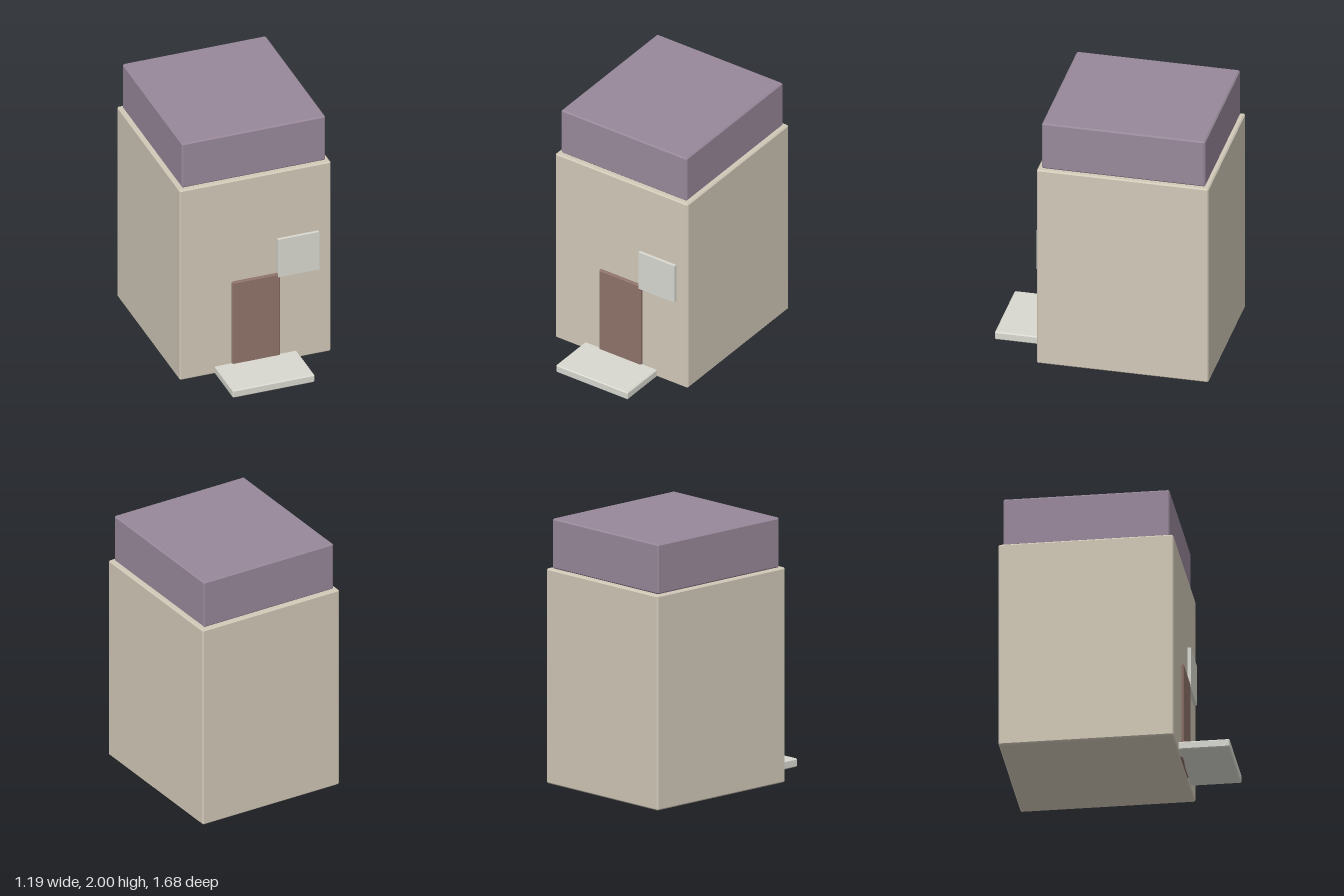
import * as THREE from 'three';
import { ConvexGeometry } from 'three/addons/geometries/ConvexGeometry.js';

// Box between two corners with chamfered edges
function chamferBox([x0, y0, z0], [x1, y1, z1], bevel) {
  const half = new THREE.Vector3(x1 - x0, y1 - y0, z1 - z0).multiplyScalar(0.5);
  const points = [];
  for (const sx of [-1, 1]) for (const sy of [-1, 1]) for (const sz of [-1, 1]) {
    for (const axis of ['x', 'y', 'z']) {
      const p = half.clone().subScalar(bevel);
      p[axis] = half[axis];
      points.push(p.multiply(new THREE.Vector3(sx, sy, sz)));
    }
  }
  return new ConvexGeometry(points).translate((x0 + x1) / 2, (y0 + y1) / 2, (z0 + z1) / 2);
}

export function createModel() {
  const model = new THREE.Group();
  model.name = 'house';

  function add(name, color, geometry) {
    const mesh = new THREE.Mesh(geometry, new THREE.MeshStandardMaterial({ color, flatShading: true }));
    mesh.name = name;
    model.add(mesh);
  }

  // Walls and the block roof, set in a little on every side
  add('walls', 0xd1c8b7, chamferBox([-0.594, 0, -0.838], [0.594, 1.623, 0.458], 0.01));
  add('roof', 0x98889a, chamferBox([-0.564, 1.623, -0.806], [0.564, 2, 0.426], 0.01));

  // Door, front step and window
  add('door', 0x8e736a, chamferBox([-0.188, 0.004, 0.448], [0.188, 0.762, 0.48], 0.008));
  add('frontStep', 0xd8d8d0, chamferBox([-0.322, 0.004, 0.458], [0.322, 0.068, 0.838], 0.008));
  add('window', 0xd8d8d0, new THREE.BoxGeometry(0.323, 0.321, 0.026).translate(0.331, 0.895, 0.469));

  return model;
}
